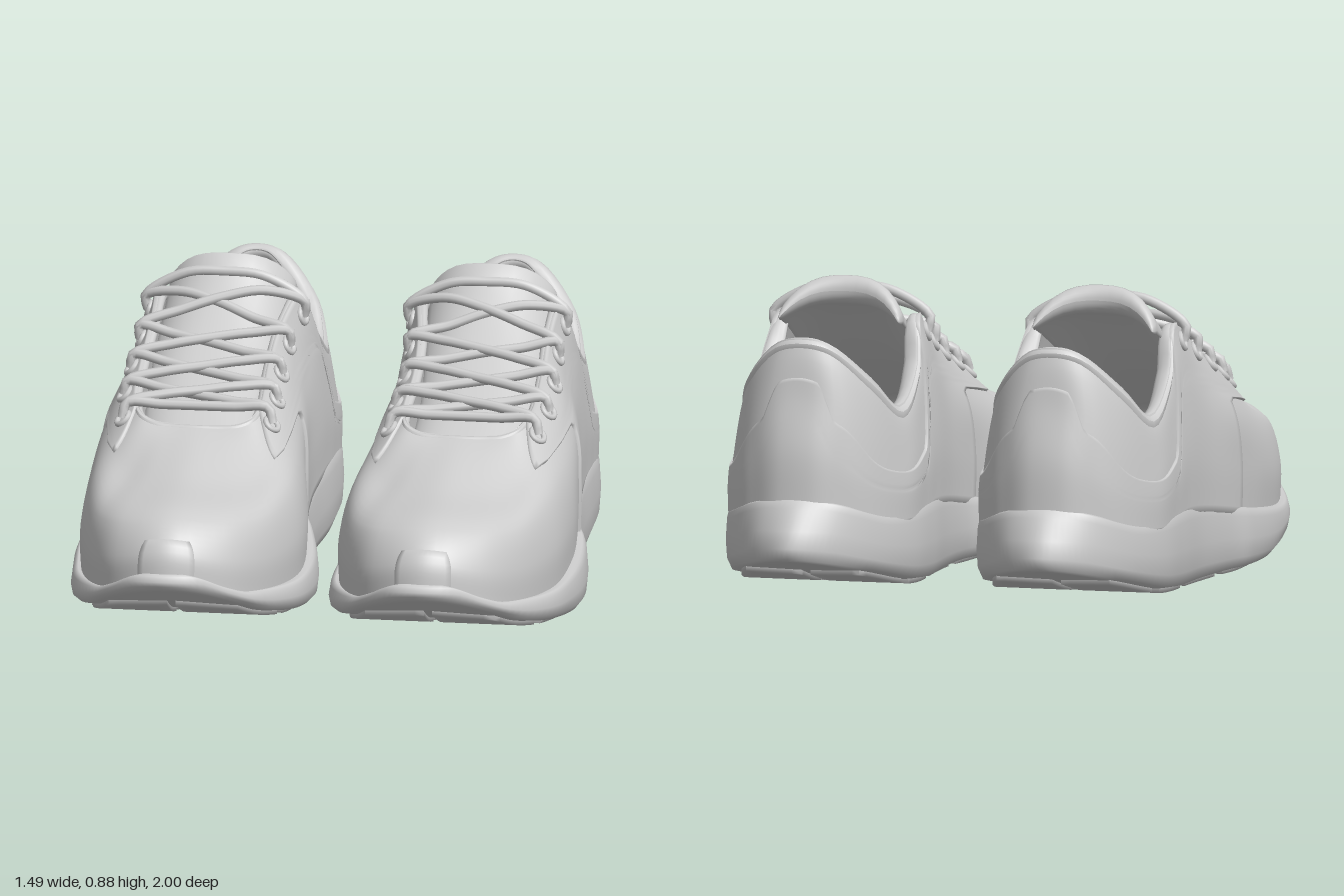
import * as THREE from 'three';

const V = (x, y, z) => new THREE.Vector3(x, y, z);
const { lerp, clamp, smoothstep: smooth } = THREE.MathUtils;

// Smooth interpolation through [z, value] pairs listed from toe to heel
function interp(pairs) {
  const n = pairs.length;
  const slope = (a, b) => (b[1] - a[1]) / (b[0] - a[0]);
  const m = pairs.map((p, i) => slope(pairs[Math.max(i - 1, 0)], pairs[Math.min(i + 1, n - 1)]));
  return (z) => {
    if (z >= pairs[0][0]) return pairs[0][1];
    if (z <= pairs[n - 1][0]) return pairs[n - 1][1];
    let i = 0;
    while (z < pairs[i + 1][0]) i++;
    const [a, b] = [pairs[i], pairs[i + 1]];
    const h = b[0] - a[0], t = (z - a[0]) / h, t2 = t * t, t3 = t2 * t;
    return (2 * t3 - 3 * t2 + 1) * a[1] + (t3 - 2 * t2 + t) * h * m[i] + (3 * t2 - 2 * t3) * b[1] + (t3 - t2) * h * m[i + 1];
  };
}

// Closed loop from half of it, mirrored across the middle of the foot
const closedLoop = (half) => new THREE.CatmullRomCurve3(
  [...half, ...half.slice(1, -1).reverse().map((p) => V(-p.x, p.y, p.z))], true);

// Grid surface: f(i, j) gives a point, the front faces along di x dj
function grid(ni, nj, f, closed = false) {
  const pos = [], index = [], cols = closed ? ni : ni + 1;
  for (let j = 0; j <= nj; j++) for (let i = 0; i < cols; i++) pos.push(...f(i, j).toArray());
  for (let j = 0; j < nj; j++) for (let i = 0; i < ni; i++) {
    const a = j * cols + i, b = j * cols + (i + 1) % cols;
    index.push(a, b, b + cols, a, b + cols, a + cols);
  }
  const g = new THREE.BufferGeometry();
  g.setAttribute('position', new THREE.Float32BufferAttribute(pos, 3));
  g.setIndex(index);
  g.computeVertexNormals();
  return g;
}

// Sole outline [half width, z], its centre line and its heights
const centreX = (z) => 0.375 + 0.024 * Math.exp(-(((z - 0.05) / 0.28) ** 2));
const outline = [[0, 1], [.1, .972], [.185, .89], [.26, .76], [.33, .58], [.353, .42], [.356, .27], [.33, .1],
  [.30, 0], [.283, -.2], [.29, -.42], [.284, -.6], [.24, -.76], [.17, -.87], [.09, -.955], [0, -1]];
const solePlan = closedLoop(outline.map(([w, z]) => V(w, 0, z)));
const halfWidth = interp(outline.map(([w, z]) => [z, w]));
const topY = interp([[.97, .265], [.9, .215], [.8, .175], [.5, .145], [.2, .17], [0, .2], [-.2, .23], [-.4, .245], [-.75, .245], [-.92, .31]]);
const botY = interp([[1, .225], [.85, .15], [.7, .09], [.46, .04], [.25, .014], [-.29, .014], [-.56, .035], [-.83, .095], [-1, .14]]);
// Rows from the bottom: width factor, toe factor, heel shortening, height fraction
const soleRows = [[0, .97, .1, 0], [.8, .975, .1, 0], [.93, .985, .06, .03], [.985, .995, 0, .2], [1, 1, .1, .5],
  [.985, .99, .24, .85], [.965, .98, .31, .97], [.945, .972, .34, 1], [.8, .95, .4, 1], [0, .9, .45, .85]];
const sole = () => grid(160, soleRows.length - 1, (i, j) => {
  const [fw, ft, fh, fy] = soleRows[j];
  const p = solePlan.getPoint(i / 160), d = Math.max(0, -0.75 - p.z);
  const z = p.z > 0 ? p.z * ft : p.z + fh * d * d * 4;
  return V(centreX(z) + p.x * fw, lerp(botY(z), topY(z), fy), z);
}, true);

// Upper: columns from toe centre to heel centre: [foot half width, foot z, mid w, y, z, edge w, y, z]
const columns = [
  [0, .965, 0, .40, .86, 0, .53, .31],
  [.155, .89, .145, .38, .80, .07, .53, .305],
  [.248, .74, .235, .365, .67, .12, .535, .30],
  [.315, .50, .288, .385, .45, .16, .55, .275],
  [.32, .28, .295, .42, .24, .18, .575, .20],
  [.295, .08, .285, .46, .05, .18, .64, .03],
  [.27, -.14, .26, .50, -.13, .185, .72, -.13],
  [.268, -.33, .255, .54, -.31, .205, .765, -.29],
  [.27, -.46, .26, .48, -.44, .23, .635, -.40],
  [.262, -.64, .258, .42, -.60, .225, .545, -.585],
  [.19, -.81, .20, .47, -.77, .18, .645, -.73],
  [.10, -.88, .105, .56, -.85, .075, .75, -.81],
  [0, -.90, 0, .60, -.86, 0, .765, -.825],
];
// Foot, lower wall, middle, shoulder and edge points of one column
function section([w0, z0, w2, y2, z2, w4, y4, z4]) {
  const y0 = topY(z0) - 0.02, bulge = 0.022 * clamp((0.45 - z0) / 0.3, -1, 1);
  return [V(w0, y0, z0), V(w0 * 1.01, (y0 + y2) / 2, lerp(z0, z2, .15)), V(w2, y2, z2),
    V((w2 + w4) / 2, (y2 + y4) / 2 + bulge, (z2 + z4) / 2), V(w4, y4, z4)];
}
const N = 24;
const sections = columns.map(section);
const loops = sections[0].map((_, r) => closedLoop(sections.map((s) => s[r])));
function rawUpper(u, v) {
  const t = ((u / N) % 1 + 1) % 1;
  const p = new THREE.CatmullRomCurve3(loops.map((l) => l.getPoint(t))).getPoint(v);
  p.x += centreX(p.z);
  return p;
}
// Point on the upper with its normal and upward tangent
function frame(u, v) {
  const up = rawUpper(u, Math.min(1, v + 0.01)).sub(rawUpper(u, Math.max(0, v - 0.01))).normalize();
  const along = rawUpper(u + 0.05, v).sub(rawUpper(u - 0.05, v)).normalize();
  return { p: rawUpper(u, v), up, n: along.cross(up).normalize() };
}
function upper(u, v, off = 0) {
  const f = frame(u, v);
  return f.p.addScaledVector(f.n, off);
}

// Raised panel on the upper: uv(a, b) gives u, v and height, rim vertices sink into the surface
const inner = (k, n) => clamp((k - 1) / (n - 2), 0, 1);
const isRim = (k, n) => k === 0 || k === n;
const panel = (uv, na, nb) => grid(na, nb, (i, j) => {
  const [u, v, off] = uv(inner(i, na), inner(j, nb));
  return upper(u, v, isRim(i, na) || isRim(j, nb) ? -0.004 : off);
});

// Tread block under the sole between two width fractions
const tread = (z0, f0, f1) => grid(10, 8, (i, j) => {
  const f = lerp(f0, f1, inner(j, 8));
  const z = z0 - 0.23 * inner(i, 10) - 0.05 * Math.abs(f);
  return V(centreX(z) + halfWidth(z) * f, botY(z) + (isRim(i, 10) || isRim(j, 8) ? 0.004 : -0.013), z);
});

// Tongue: arched padded strip ending in a thick lip
const tongueY = interp([[.36, .48], [.11, .58], [-.02, .645], [-.155, .73], [-.3, .835]]);
const tongue = () => grid(32, 34, (i, j) => {
  const s = Math.min(j / 26, 1), cap = Math.max(0, j - 26) / 8 * Math.PI / 2, phi = -i / 32 * Math.PI * 2;
  const c = Math.cos(phi), sn = Math.sin(phi), z = lerp(.36, -.3, s);
  const thick = (0.016 + 0.026 * s ** 8) * Math.cos(cap) * Math.sign(sn) * Math.abs(sn) ** .6;
  const x = (0.15 + 0.035 * s) * c * (0.96 + 0.04 * Math.cos(cap));
  const y = tongueY(z) - (0.03 + 0.045 * s) * Math.abs(c) ** 3 + thick;
  return V(centreX(z) + x, y, z - 0.035 * Math.sin(cap) - 0.07 * s ** 5 * c * c);
}, true);

// Lacing
const eyeletU = [3.6, 4.4, 5.1, 5.85, 6.7];
const sideU = (row, side) => (side > 0 ? eyeletU[row] : N - eyeletU[row]);
function strand(rowA, rowB, side, lift) {
  const [a, b] = [[rowA, side], [rowB, -side]].map(([r, s]) => [upper(sideU(r, s), .85, .012), upper(sideU(r, s), .95, .032)]);
  const mid = [.25, .5, .75].map((t) => {
    const p = a[1].clone().lerp(b[1], t);
    p.y = Math.max(p.y, tongueY(p.z) + (t === .5 ? .028 : .018)) + lift;
    return p;
  });
  return new THREE.TubeGeometry(new THREE.CatmullRomCurve3([...a, ...mid, b[1], b[0]]), 28, 0.0145, 8);
}
function eyelet(row, side) {
  const { p, n } = frame(sideU(row, side), .85);
  const turn = new THREE.Quaternion().setFromUnitVectors(V(0, 0, 1), n);
  return new THREE.TorusGeometry(0.022, 0.009, 8, 18).applyQuaternion(turn).translate(...p.addScaledVector(n, .01).toArray());
}

// Same geometry for the other foot, with the winding turned round
function mirrored(g) {
  const m = g.clone().scale(-1, 1, 1), a = m.index.array;
  for (let i = 0; i < a.length; i += 3) [a[i], a[i + 1]] = [a[i + 1], a[i]];
  return m;
}

export function createModel() {
  const grey = new THREE.MeshStandardMaterial({ color: 0xcccccc });
  grey.name = 'light grey';
  const parts = [];
  const add = (name, g) => parts.push([name, g]);

  // Sole and tread blocks
  add('sole', sole());
  for (const z of [.86, .58, .30, .02, -.26, -.55]) {
    add('treadBlock', tread(z, -.82, -.06));
    add('treadBlock', tread(z, .06, .82));
  }

  // Upper shell, padded rim, lining and footbed
  const rimR = (u) => {
    const k = Math.min(u, N - u);
    return lerp(.013, .03, smooth(k, 6.3, 8)) - .008 * smooth(k, 10, 12);
  };
  add('upper', grid(120, 24, (i, j) => upper(i / 5, j / 24), true));
  add('collarRim', grid(120, 12, (i, j) => {
    const r = rimR(i / 5), a = j / 12 * Math.PI * 2, { p, up, n } = frame(i / 5, 1);
    return p.addScaledVector(n, r * (Math.cos(a) - .8)).addScaledVector(up, r * (Math.sin(a) - .75));
  }, true));
  add('lining', grid(120, 16, (i, j) => upper(i / 5, 1 - j / 16, -1.6 * rimR(i / 5)), true));
  add('footbed', grid(120, 1, (i, j) => {
    const p = upper(i / 5, .02, -.01);
    return V(lerp(p.x, centreX(p.z), j), topY(p.z) + .03, p.z);
  }, true));

  // Quarter panel: lace stays in front, low under the collar, rising to a tab at the heel
  const quarterStart = (b) => lerp(5.05, 3, smooth(b, .58, .72)) + .6 * Math.max(0, (b - .75) / .25) ** 2;
  const quarterTop = (k) => lerp(1, .35, smooth(k, 7.25, 8.1)) + .09 * smooth(k, 9.6, 10.8) + .18 * smooth(k, 11, 11.5);
  add('quarterPanel', panel((a, b) => {
    const start = quarterStart(b), u = lerp(start, N - start, a), k = Math.min(u, N - u);
    return [u, b * quarterTop(k), .008 + .012 * smooth(k, 10.6, 11.6)];
  }, 130, 30));

  // Toe guard
  add('toeGuard', panel((a, b) => [lerp(-.46, .46, a) * (1 - .2 * b ** 6), b * .33, .016], 12, 10));

  // Tongue, eyelets and laces
  add('tongue', tongue());
  for (let r = 0; r < 5; r++) {
    for (const s of [1, -1]) {
      add('eyelet', eyelet(r, s));
      if (r < 4) add('lace', strand(r, r + 1, s, s > 0 ? .014 : 0));
    }
  }
  add('lace', strand(0, 0, 1, 0));
  add('lace', strand(4, 4, 1, .02));

  const model = new THREE.Group();
  model.name = 'pairOfShoes';
  for (const side of ['left', 'right']) {
    const shoe = new THREE.Group();
    shoe.name = side + 'Shoe';
    for (const [name, g] of parts) {
      const mesh = new THREE.Mesh(side === 'left' ? g : mirrored(g), grey);
      mesh.name = name;
      shoe.add(mesh);
    }
    model.add(shoe);
  }
  return model;
}
